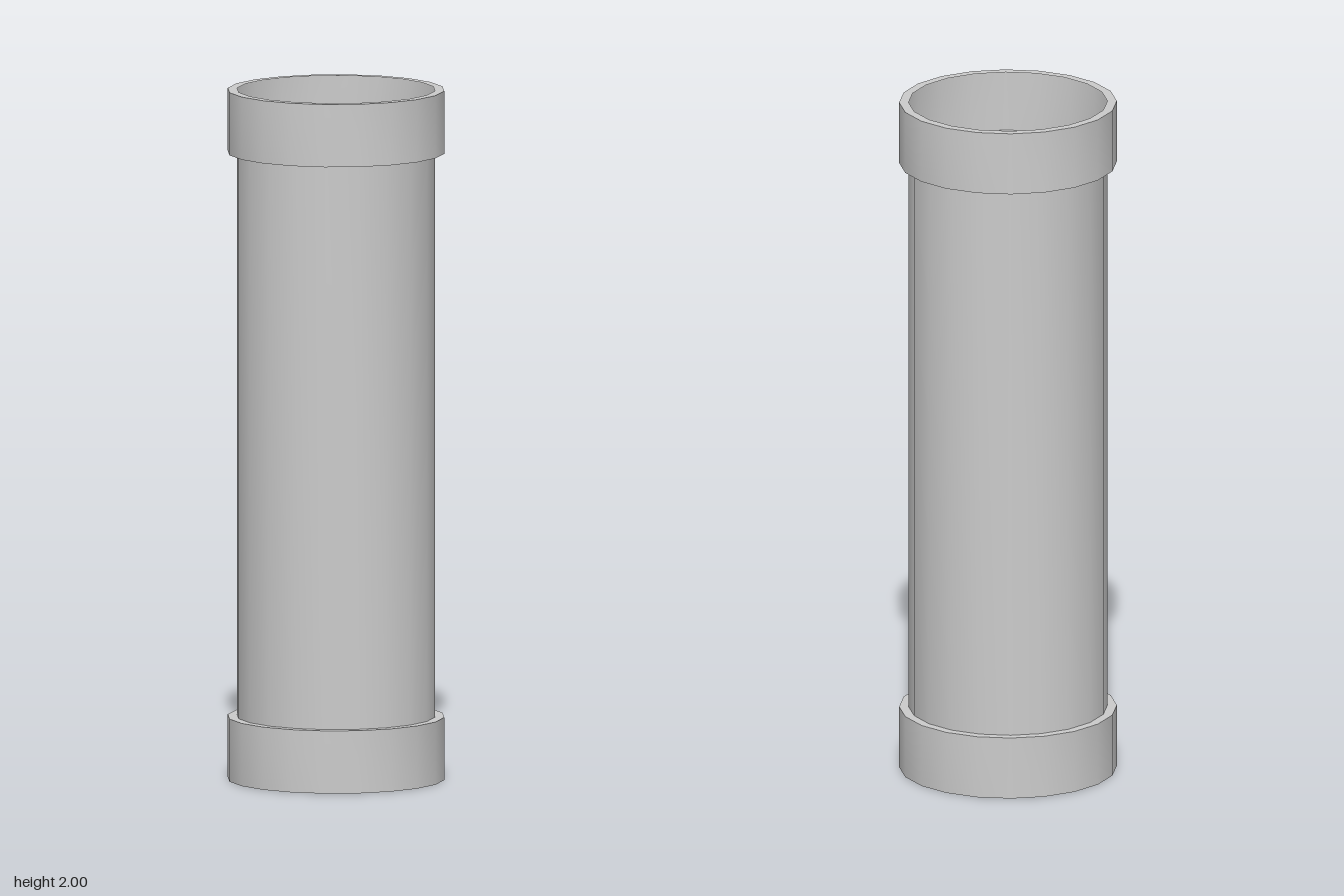
import * as THREE from 'three';
import { toCreasedNormals } from 'three/addons/utils/BufferGeometryUtils.js';

const SIDES = 20;
const HEIGHT = 2;
const PIPE_RADIUS = 0.286;
const COLLAR_RADIUS = 0.313;
const COLLAR_HEIGHT = 0.182;

const material = new THREE.MeshStandardMaterial({ color: 0xcccccc, side: THREE.DoubleSide });

// Thin shell turned around y: smooth around, sharp at the profile corners
function shell(name, profile) {
  const points = profile.map(([r, y]) => new THREE.Vector2(r, y));
  const geometry = toCreasedNormals(new THREE.LatheGeometry(points, SIDES), 0.6);
  const mesh = new THREE.Mesh(geometry, material);
  mesh.name = name;
  return mesh;
}

// Hollow collar: outer wall with a flat ring at each end, open on the inside
function collar(name, y) {
  const mesh = shell(name, [
    [PIPE_RADIUS, 0],
    [COLLAR_RADIUS, 0],
    [COLLAR_RADIUS, COLLAR_HEIGHT],
    [PIPE_RADIUS, COLLAR_HEIGHT],
  ]);
  mesh.position.y = y;
  return mesh;
}

export function createModel() {
  const group = new THREE.Group();
  group.name = 'pipe';

  // Straight open tube between the collars
  group.add(shell('tube', [
    [PIPE_RADIUS, COLLAR_HEIGHT],
    [PIPE_RADIUS, HEIGHT - COLLAR_HEIGHT],
  ]));

  group.add(collar('bottomCollar', 0));
  group.add(collar('topCollar', HEIGHT - COLLAR_HEIGHT));
  return group;
}
